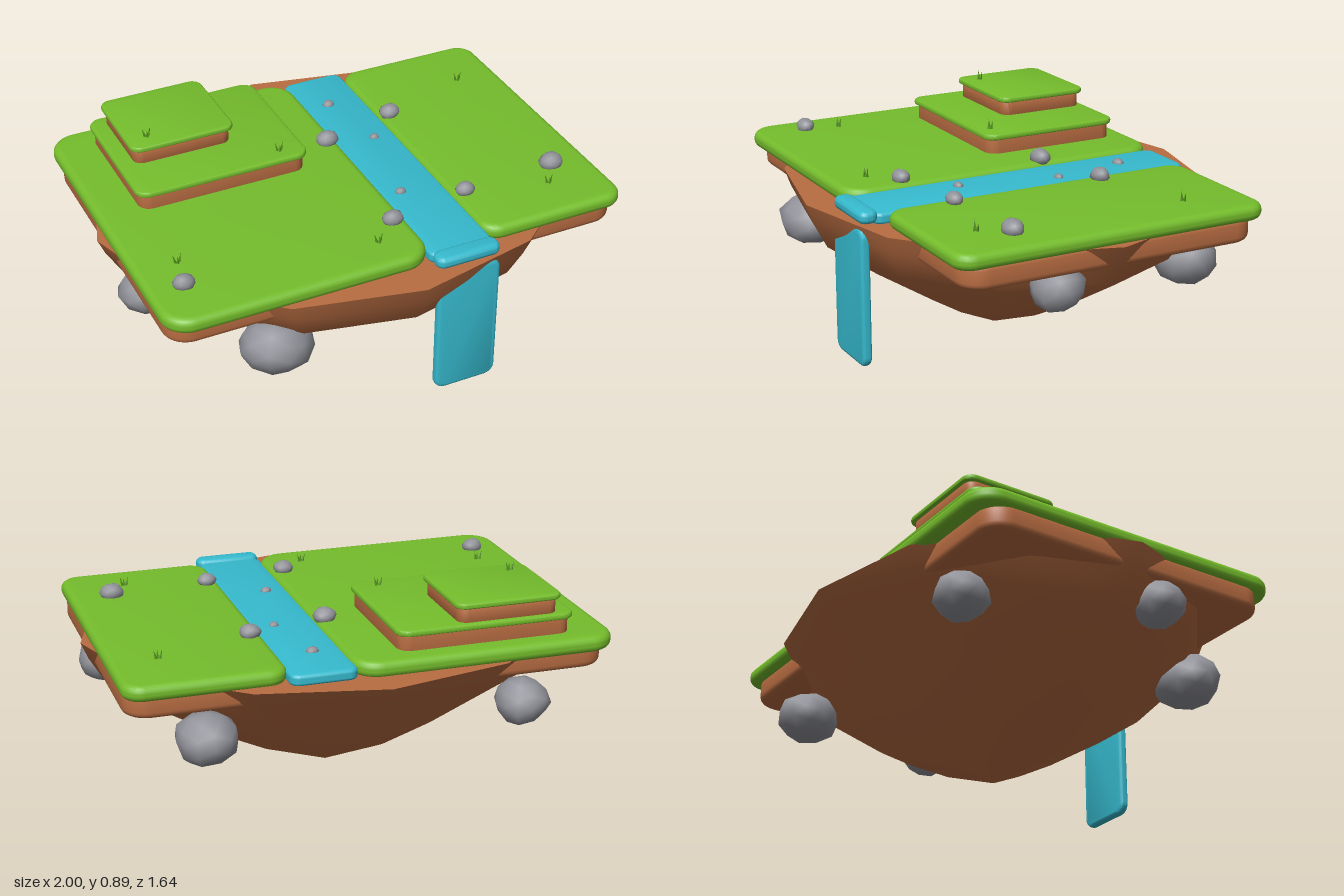
import * as THREE from 'three';
import { mergeVertices, toCreasedNormals } from 'three/addons/utils/BufferGeometryUtils.js';

const mat = (name, color) => {
  const m = new THREE.MeshStandardMaterial({ color });
  m.name = name;
  return m;
};

// Rounded rectangle in the XY plane, extruded along z with soft edges
function roundedPlate(w, h, depth, radius, bevel) {
  const x = w / 2 - bevel, y = h / 2 - bevel, r = Math.max(radius - bevel, 0.005);
  const s = new THREE.Shape();
  s.absarc(x - r, y - r, r, 0, Math.PI / 2);
  s.absarc(-x + r, y - r, r, Math.PI / 2, Math.PI);
  s.absarc(-x + r, -y + r, r, Math.PI, Math.PI * 1.5);
  s.absarc(x - r, -y + r, r, Math.PI * 1.5, Math.PI * 2);
  const g = new THREE.ExtrudeGeometry(s, {
    depth: depth - 2 * bevel, bevelEnabled: true, bevelThickness: bevel,
    bevelSize: bevel, bevelSegments: 4, curveSegments: 6,
  });
  g.translate(0, 0, bevel - depth / 2);
  return toCreasedNormals(g, 0.7);
}

// Lumpy low-poly stone of unit radius
function stoneGeometry(seed) {
  let g = new THREE.IcosahedronGeometry(1, 1);
  g.deleteAttribute('uv');
  g.deleteAttribute('normal');
  g = mergeVertices(g, 1e-3);
  const p = g.attributes.position, v = new THREE.Vector3();
  for (let i = 0; i < p.count; i++) {
    v.fromBufferAttribute(p, i);
    v.multiplyScalar(1 + 0.07 * Math.sin(3 * v.x + seed) * Math.cos(4 * v.y + 2 * v.z + seed * 2));
    p.setXYZ(i, v.x, v.y, v.z);
  }
  g.computeVertexNormals();
  return g;
}

// Tapering twelve-sided underside; the back leans in more than the front
function rockGeometry() {
  const rings = [[1, 0.63, 0], [0.97, 0.56, 0.05], [0.9, 0.445, 0.15],
    [0.64, 0.295, 0.06], [0.34, 0.14, 0.01], [0.001, 0, 0]];
  const n = 12, pos = [], idx = [];
  rings.forEach(([r, y, lean]) => {
    for (let i = 0; i < n; i++) {
      const a = (i / n) * Math.PI * 2, c = Math.cos(a), s = Math.sin(a);
      const k = r - lean * Math.max(0, -s) ** 2;
      pos.push(k * c, y, k * s * 0.82);
    }
  });
  for (let j = 0; j < rings.length - 1; j++) {
    for (let i = 0; i < n; i++) {
      const a = j * n + i, b = j * n + ((i + 1) % n);
      idx.push(a, b, a + n, b, b + n, a + n);
    }
  }
  const g = new THREE.BufferGeometry();
  g.setAttribute('position', new THREE.Float32BufferAttribute(pos, 3));
  g.setIndex(idx);
  g.computeVertexNormals();
  return g;
}

export function createModel() {
  const root = new THREE.Group();
  root.name = 'floatingIsland';
  const grass = mat('grass', 0x75bd2c);
  const soil = mat('soil', 0xb96d42);
  const water = mat('water', 0x36bace);
  const stone = mat('stone', 0x92939a);
  const blade = mat('grassBlade', 0x57991f);

  const add = (name, geometry, material, parent = root) => {
    const m = new THREE.Mesh(geometry, material);
    m.name = name;
    parent.add(m);
    return m;
  };
  // Horizontal slab given by its bounds
  const slab = (name, material, [x0, x1], [y0, y1], [z0, z1], radius, bevel) => {
    const g = roundedPlate(x1 - x0, z1 - z0, y1 - y0, radius, bevel);
    g.rotateX(-Math.PI / 2);
    add(name, g, material).position.set((x0 + x1) / 2, (y0 + y1) / 2, (z0 + z1) / 2);
  };

  // Hanging rock with its flat top
  add('rockBase', rockGeometry(), soil);
  const top = add('rockTop', new THREE.CircleGeometry(1, 12), soil);
  top.rotation.x = -Math.PI / 2;
  top.scale.set(1, 0.82, 1);
  top.position.y = 0.63;

  // Meadows on either side of the river
  slab('rightSoil', soil, [-0.95, 0.08], [0.54, 0.64], [-0.64, 0.64], 0.1, 0.025);
  slab('rightMeadow', grass, [-0.97, 0.1], [0.622, 0.687], [-0.7, 0.69], 0.11, 0.028);
  slab('leftSoil', soil, [0.36, 0.955], [0.54, 0.64], [-0.62, 0.62], 0.1, 0.025);
  slab('leftMeadow', grass, [0.34, 0.967], [0.622, 0.685], [-0.66, 0.655], 0.08, 0.028);

  // Stepped hill
  slab('lowerHillSoil', soil, [-0.8, -0.1], [0.675, 0.755], [-0.615, -0.035], 0.05, 0.012);
  slab('lowerHillGrass', grass, [-0.815, -0.088], [0.745, 0.77], [-0.628, -0.02], 0.055, 0.011);
  slab('upperHillSoil', soil, [-0.747, -0.34], [0.762, 0.835], [-0.605, -0.23], 0.04, 0.012);
  slab('upperHillGrass', grass, [-0.762, -0.325], [0.826, 0.85], [-0.62, -0.215], 0.045, 0.011);

  // River, lip and waterfall
  slab('river', water, [0.085, 0.35], [0.625, 0.672], [-0.69, 0.69], 0.04, 0.015);
  slab('waterfallLip', water, [0.085, 0.355], [0.636, 0.685], [0.672, 0.75], 0.035, 0.02);
  add('waterfall', roundedPlate(0.265, 0.56, 0.038, 0.045, 0.016), water)
    .position.set(0.22, 0.34, 0.73);

  // Boulders stuck in the underside: x, y, z, then radii
  const boulders = [
    [-0.515, 0.39, 0.585, 0.148, 0.108, 0.135],
    [-0.865, 0.475, 0.17, 0.115, 0.09, 0.11],
    [-0.63, 0.405, -0.56, 0.11, 0.095, 0.11],
    [0.63, 0.39, -0.515, 0.125, 0.105, 0.128],
    [0.875, 0.475, 0.21, 0.1, 0.097, 0.105],
  ];
  boulders.forEach(([x, y, z, a, b, c], i) => {
    const m = add('boulder', stoneGeometry(i * 1.7), stone);
    m.position.set(x, y, z);
    m.scale.set(a, b, c);
  });

  // Stones on the grass and pebbles in the river: x, y, z, radius
  const stones = [
    [0.06, 0.7, -0.18, 0.048], [0.387, 0.7, -0.263, 0.044], [0.045, 0.7, 0.438, 0.043],
    [0.393, 0.7, 0.382, 0.04], [0.8, 0.7, 0.355, 0.05], [-0.83, 0.7, 0.475, 0.044],
    [0.2, 0.672, -0.463, 0.026], [0.26, 0.672, -0.15, 0.021], [0.175, 0.672, 0.253, 0.023],
  ];
  stones.forEach(([x, y, z, r], i) => {
    const m = add(i < 6 ? 'stone' : 'pebble', stoneGeometry(i * 2.3 + 1), stone);
    m.position.set(x, y, z);
    m.scale.set(r, r * 0.75, r * 0.85);
  });

  // Grass tufts of three leaning blades
  const tufts = [
    [-0.675, 0.848, -0.29], [-0.195, 0.768, -0.085], [-0.8, 0.685, 0.335],
    [-0.065, 0.685, 0.54], [0.78, 0.683, -0.39], [0.725, 0.683, 0.465],
  ];
  const bladeGeo = new THREE.ConeGeometry(0.006, 0.042, 5);
  bladeGeo.translate(0, 0.02, 0);
  tufts.forEach(([x, y, z]) => {
    const tuft = new THREE.Group();
    tuft.name = 'grassTuft';
    tuft.position.set(x, y, z);
    [-1, 0, 1].forEach((k) => {
      const b = add('grassBlade', bladeGeo, blade, tuft);
      b.position.set(k * 0.007, 0, k === 0 ? 0.006 : -0.003);
      b.rotation.z = -k * 0.25;
      b.scale.y = k === 0 ? 0.8 : 1;
    });
    root.add(tuft);
  });

  return root;
}
